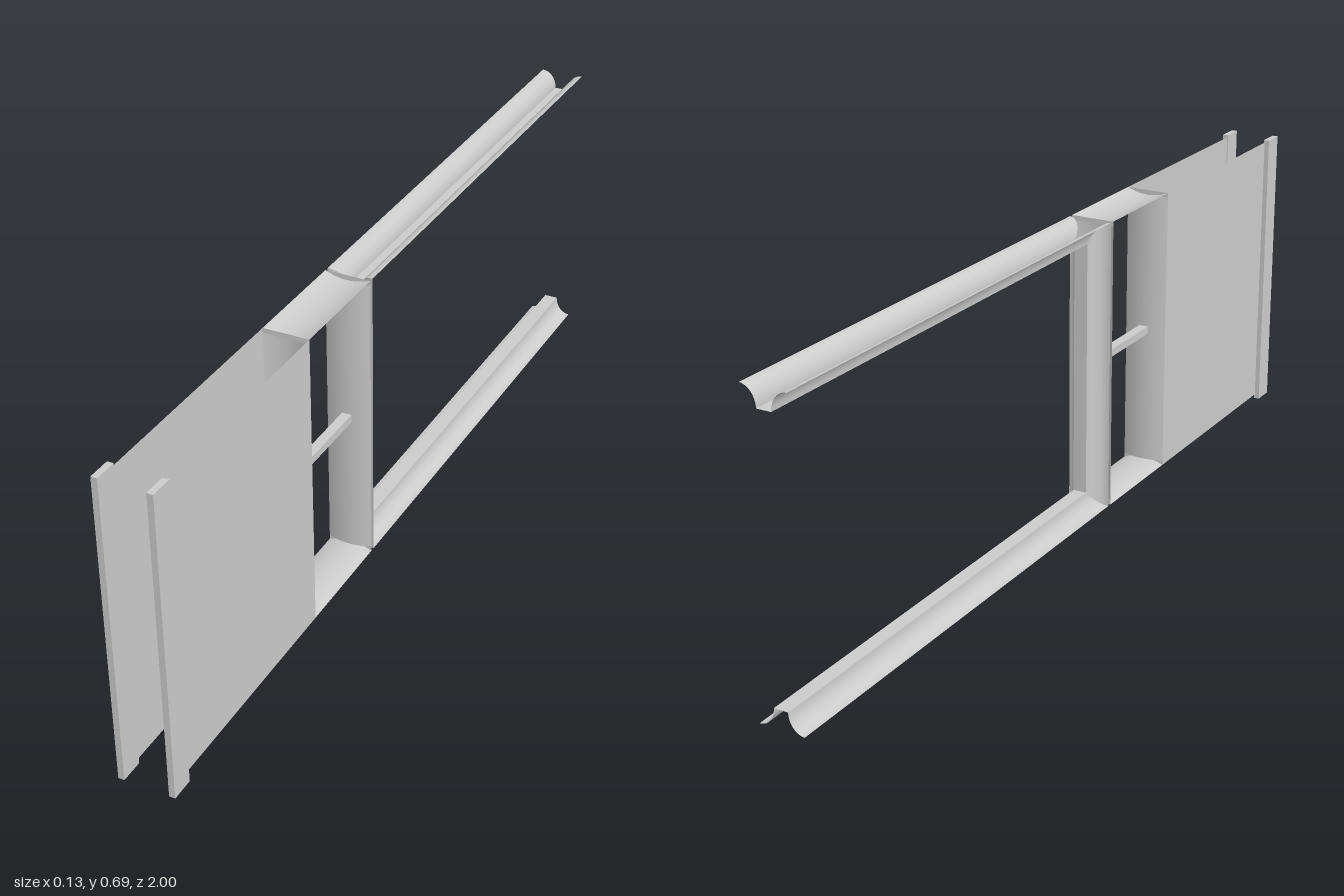
import * as THREE from 'three';

const material = new THREE.MeshStandardMaterial({ color: 0xcccccc, side: THREE.DoubleSide });
const Y0 = 0.01, Y1 = 0.68;          // lower and upper edge of the body
const HALF = 0.051;                  // half width of the body
const Z_RAIL = 0.15;                 // outer edge of the upright channel
const Z_BACK = 0.16, Z_FRONT = 0.42; // ends of the window frame

export function createModel() {
  const group = new THREE.Group();

  function add(name, geometry, x = 0, y = 0, z = 0) {
    const mesh = new THREE.Mesh(geometry, material);
    mesh.name = name;
    mesh.position.set(x, y, z);
    group.add(mesh);
  }

  // Thin sheet swept along a profile of [x, depth]; start and end place its two ends
  function sheet(name, profile, start, end) {
    const pos = [], index = [];
    profile.forEach(([x, d], i) => {
      pos.push(x, ...start(d), x, ...end(d));
      if (i) {
        const a = 2 * i - 2;
        index.push(a, a + 1, a + 2, a + 1, a + 3, a + 2);
      }
    });
    const geometry = new THREE.BufferGeometry();
    geometry.setAttribute('position', new THREE.Float32BufferAttribute(pos, 3));
    geometry.setIndex(index);
    geometry.computeVertexNormals();
    add(name, geometry);
  }

  // Channel profile: narrow flat bottom with a flared cove on each side
  const cove = (s) => Array.from({ length: 11 }, (_, i) => {
    const t = (i / 10) * Math.PI / 2;
    return [s * (HALF - 0.035 * Math.cos(t)), 0.042 * (1 - Math.sin(t))];
  });
  const channel = { LeftCove: cove(1), RightCove: cove(-1), Web: [[-0.016, 0.042], [0.016, 0.042]] };

  // Two long rails mitred into one upright
  for (const [part, profile] of Object.entries(channel)) {
    sheet('lowerRail' + part, profile, (d) => [Y0 + d, -1], (d) => [Y0 + d, Z_RAIL - d]);
    sheet('upperRail' + part, profile, (d) => [Y1 - d, -1], (d) => [Y1 - d, Z_RAIL - d]);
    sheet('upright' + part, profile, (d) => [Y0 + d, Z_RAIL - d], (d) => [Y1 - d, Z_RAIL - d]);
  }

  // Window frame: four shallow sheets bowed into the opening
  const BOW = 0.011;
  const bow = Array.from({ length: 17 }, (_, i) => {
    const u = i / 8 - 1;
    return [u * HALF, BOW * (1 - u * u)];
  });
  sheet('frameTop', bow, (d) => [Y1 - d, Z_BACK], (d) => [Y1 - d, Z_FRONT]);
  sheet('frameBottom', bow, (d) => [Y0 + d, Z_BACK], (d) => [Y0 + d, Z_FRONT]);
  sheet('frameBack', bow, (d) => [Y0 + BOW, Z_BACK + d], (d) => [Y1 - BOW, Z_BACK + d]);
  sheet('frameFront', bow, (d) => [Y0 + BOW, Z_FRONT - d], (d) => [Y1 - BOW, Z_FRONT - d]);

  // Narrow strips closing the ends of the frame
  for (const z of [Z_BACK, Z_FRONT]) {
    for (const y of [Y0 + BOW / 2, Y1 - BOW / 2]) {
      add('frameEndStrip', new THREE.PlaneGeometry(2 * HALF, BOW), 0, y, z);
    }
  }

  // Crossbar in the middle of the window
  add('crossbar', new THREE.BoxGeometry(0.022, 0.018, Z_FRONT - Z_BACK), 0, 0.347, (Z_BACK + Z_FRONT) / 2);

  // Side panels and the posts at their front edges
  for (const s of [1, -1]) {
    const panel = new THREE.PlaneGeometry(0.955 - Z_FRONT, Y1 - Y0).rotateY(s * Math.PI / 2);
    add('sidePanel', panel, s * HALF, (Y0 + Y1) / 2, (0.955 + Z_FRONT) / 2);
    add('frontPost', new THREE.BoxGeometry(0.0135, 0.686, 0.052), s * 0.0558, 0.343, 0.974);
  }
  return group;
}
